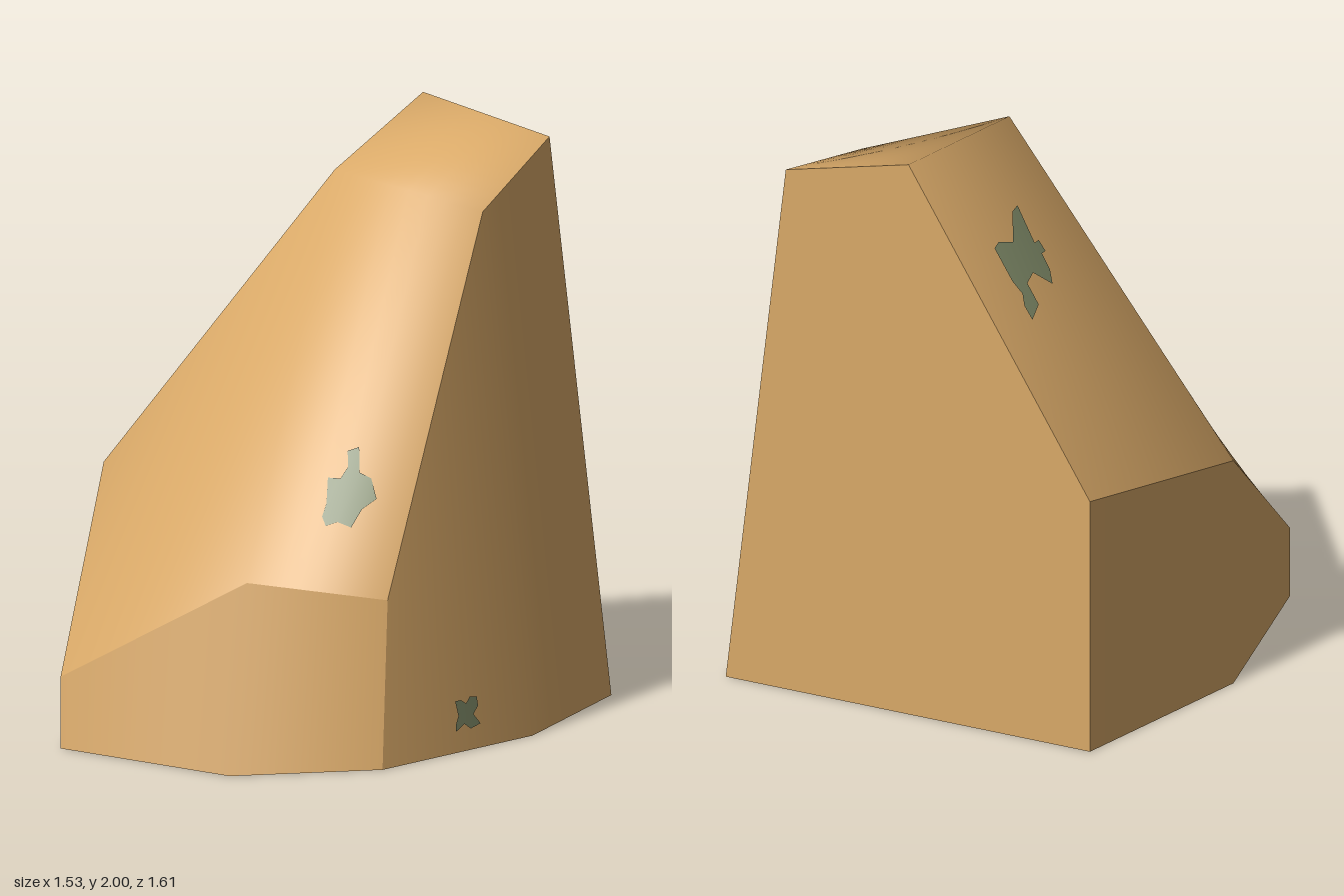
import * as THREE from 'three';

const V = (x, y, z) => new THREE.Vector3(x, y, z);
const N = 8; // subdivisions of each facet

// Corner points of the boulder
const P = {
  topBack: V(0.08, 2, -0.805), topFront: V(0.08, 1.89, -0.07),
  shoulderBack: V(0.54, 1.89, -0.805), shoulder: V(0.54, 1.75, -0.25),
  ridgeLow: V(0.08, 0.63, 0.66), cornerLow: V(0.465, 0.545, 0.37),
  noseBase: V(0.08, 0, 0.805), cornerBase: V(0.51, 0, 0.515),
  sideBase: V(0.765, 0, -0.15), backBase: V(0.765, 0, -0.805),
  hip: V(-0.765, 0.81, -0.08), hipBase: V(-0.765, 0, -0.08),
  toe: V(-0.6, 0.245, 0.655), toeBase: V(-0.6, 0, 0.655),
  rear: V(-0.6, 0.91, -0.805), rearBase: V(-0.6, 0, -0.805),
  midBase: V(0.08, 0, -0.805),
};

// Facets, counter-clockwise from outside; each group shades smoothly
const groups = {
  upperSlope: [
    ['topFront', 'shoulder', 'shoulderBack', 'topBack'],
    ['ridgeLow', 'cornerLow', 'shoulder', 'topFront'],
    ['toe', 'ridgeLow', 'topFront', 'hip'],
    ['hip', 'topFront', 'topBack', 'rear'],
  ],
  frontBand: [
    ['toeBase', 'noseBase', 'ridgeLow', 'toe'],
    ['noseBase', 'cornerBase', 'cornerLow', 'ridgeLow'],
  ],
  leftSide: [
    ['cornerBase', 'sideBase', 'shoulder', 'cornerLow'],
    ['sideBase', 'backBase', 'shoulderBack', 'shoulder'],
  ],
  rightSide: [
    ['rearBase', 'hipBase', 'hip', 'rear'],
    ['hipBase', 'toeBase', 'toe', 'hip'],
  ],
  backFace: [
    ['backBase', 'midBase', 'topBack', 'shoulderBack'],
    ['midBase', 'rearBase', 'rear', 'topBack'],
  ],
};

// Blend four corner vectors across a facet
function blend([a, b, c, d], u, v) {
  return a.clone().lerp(b, u).lerp(d.clone().lerp(c, u), v);
}

// Area-weighted corner normals shared within a group
function cornerNormals(quads) {
  const normals = {};
  for (const q of quads) {
    const [a, b, c, d] = q.map((k) => P[k]);
    const n = c.clone().sub(a).cross(d.clone().sub(b));
    for (const k of q) (normals[k] ??= V(0, 0, 0)).add(n);
  }
  for (const k in normals) normals[k].normalize();
  return normals;
}

function facetGroup(quads) {
  const normals = cornerNormals(quads);
  const pos = [], nor = [], idx = [];
  for (const q of quads) {
    const base = pos.length / 3;
    for (let j = 0; j <= N; j++) for (let i = 0; i <= N; i++) {
      pos.push(...blend(q.map((k) => P[k]), i / N, j / N));
      nor.push(...blend(q.map((k) => normals[k]), i / N, j / N).normalize());
    }
    for (let j = 0; j < N; j++) for (let i = 0; i < N; i++) {
      const a = base + j * (N + 1) + i, d = a + N + 1;
      idx.push(a, a + 1, d + 1, a, d + 1, d);
    }
  }
  const g = new THREE.BufferGeometry();
  g.setAttribute('position', new THREE.Float32BufferAttribute(pos, 3));
  g.setAttribute('normal', new THREE.Float32BufferAttribute(nor, 3));
  g.setIndex(idx);
  return g;
}

// Drop a flat outline, drawn along the two axes, onto a facet
function mossPatch(group, facet, axisA, axisB, outline) {
  const quad = groups[group][facet];
  const corners = quad.map((k) => P[k]);
  const all = cornerNormals(groups[group]);
  const normals = quad.map((k) => all[k]);
  const g = new THREE.ShapeGeometry(new THREE.Shape(outline.map(([x, y]) => new THREE.Vector2(x, y))));
  const pos = g.attributes.position, nor = g.attributes.normal;
  const flat = (u, v) => {
    const p = blend(corners, u, v);
    return [p.dot(axisA), p.dot(axisB)];
  };
  for (let i = 0; i < pos.count; i++) {
    let u = 0.5, v = 0.5;
    const e = 0.001;
    for (let k = 0; k < 12; k++) {
      const [x, y] = flat(u, v), [xu, yu] = flat(u + e, v), [xv, yv] = flat(u, v + e);
      const a = (xu - x) / e, b = (xv - x) / e, c = (yu - y) / e, d = (yv - y) / e;
      const dx = pos.getX(i) - x, dy = pos.getY(i) - y, det = a * d - b * c;
      u += (d * dx - b * dy) / det;
      v += (a * dy - c * dx) / det;
    }
    const face = blend(corners, u + e, v).sub(blend(corners, u, v))
      .cross(blend(corners, u, v + e).sub(blend(corners, u, v))).normalize();
    const p = blend(corners, u, v).addScaledVector(face, 0.005);
    const n = blend(normals, u, v).normalize();
    pos.setXYZ(i, p.x, p.y, p.z);
    nor.setXYZ(i, n.x, n.y, n.z);
  }
  return g;
}

export function createModel() {
  const stone = new THREE.MeshStandardMaterial({ color: 0xd9a968, side: THREE.DoubleSide });
  stone.name = 'sandstone';
  const moss = new THREE.MeshStandardMaterial({ color: 0x7f8a68 });
  moss.name = 'moss green';
  const model = new THREE.Group();
  model.name = 'boulder';
  const add = (name, geometry, material) => {
    const mesh = new THREE.Mesh(geometry, material);
    mesh.name = name;
    model.add(mesh);
  };

  // Stone shell, open underneath
  for (const name in groups) add(name, facetGroup(groups[name]), stone);

  // Moss patches
  add('frontMoss', mossPatch('upperSlope', 1, V(1, 0, 0), V(0, 1, 0), [
    [0.28, 1.02], [0.31, 1.03], [0.32, 0.98], [0.325, 0.95], [0.36, 0.93], [0.385, 0.865],
    [0.35, 0.835], [0.33, 0.78], [0.29, 0.8], [0.26, 0.79], [0.245, 0.82], [0.25, 0.86],
    [0.24, 0.94], [0.275, 0.935], [0.29, 0.97],
  ]), moss);
  add('upperMoss', mossPatch('upperSlope', 3, V(1, 0, 0), V(0, 0, -1), [
    [-0.28, 0.61], [-0.25, 0.61], [-0.23, 0.585], [-0.2, 0.6], [-0.13, 0.595], [-0.125, 0.555],
    [-0.14, 0.48], [-0.09, 0.385], [-0.085, 0.34], [-0.165, 0.37], [-0.165, 0.34], [-0.19, 0.34],
    [-0.19, 0.365], [-0.225, 0.375], [-0.25, 0.405], [-0.21, 0.47], [-0.22, 0.53], [-0.265, 0.535],
  ]), moss);
  add('sideMoss', mossPatch('leftSide', 0, V(0, 0, -1), V(0, 1, 0), [
    [-0.165, 0.17], [-0.14, 0.17], [-0.12, 0.155], [-0.1, 0.175], [-0.07, 0.17], [-0.07, 0.14],
    [-0.095, 0.115], [-0.07, 0.08], [-0.115, 0.07], [-0.14, 0.09], [-0.18, 0.07], [-0.175, 0.095],
    [-0.16, 0.12],
  ]), moss);
  return model;
}
